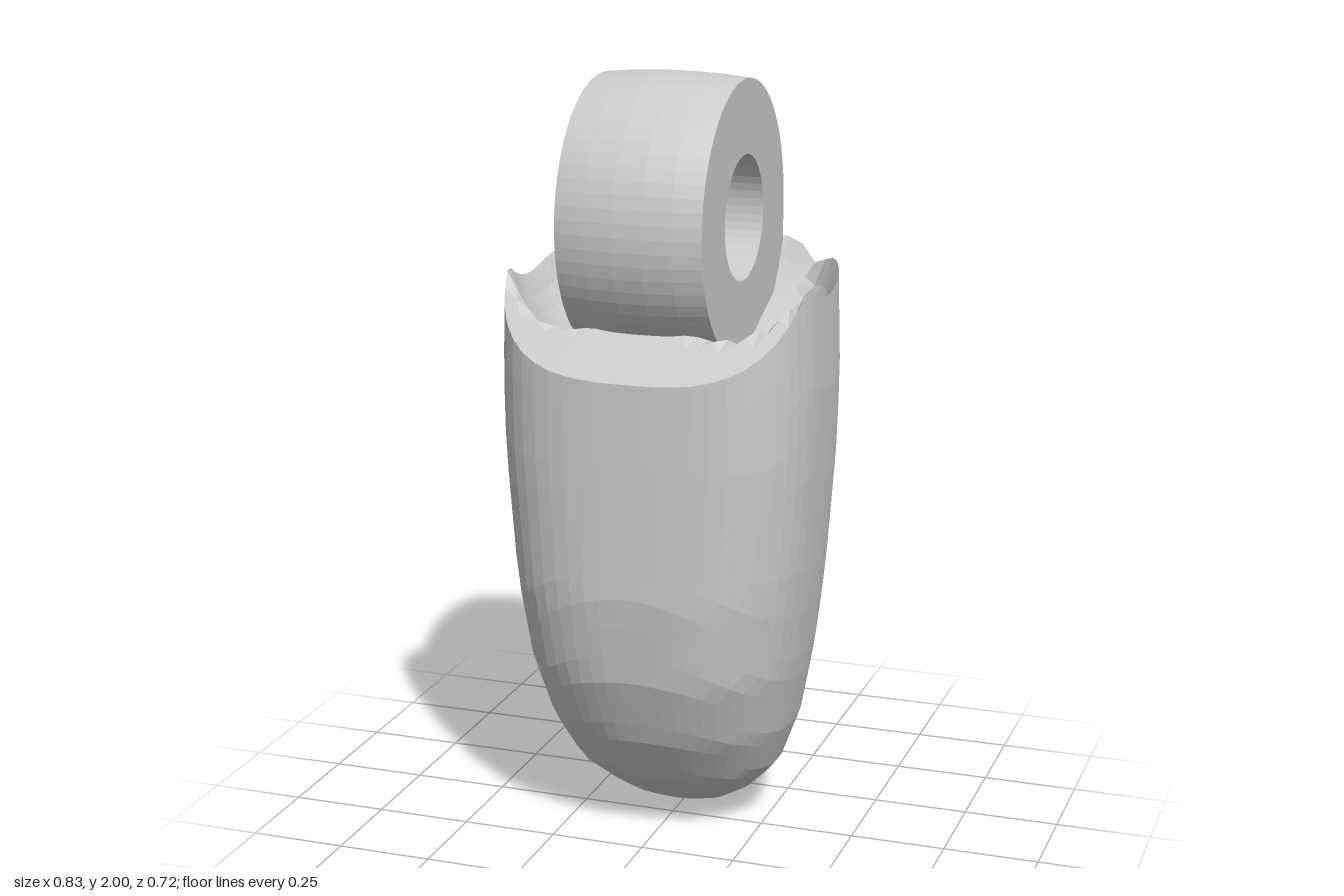
import * as THREE from 'three';
import { mergeVertices } from 'three/addons/utils/BufferGeometryUtils.js';

const AXIS_Y = 1.64; // height of the hinge axis
const RADIUS = 0.36; // hinge knuckle radius
const HALF = 0.19; // hinge knuckle half width

// Body sections: height, half width, front z, back z, roundness exponent
const SECTIONS = [
  [0, 0, -0.12, -0.12, 2.1],
  [0.015, 0.08, -0.06, -0.17, 2.1],
  [0.04, 0.14, 0.0, -0.205, 2.2],
  [0.08, 0.2, 0.06, -0.24, 2.2],
  [0.16, 0.275, 0.155, -0.285, 2.3],
  [0.3, 0.328, 0.255, -0.33, 2.4],
  [0.48, 0.362, 0.328, -0.35, 2.6],
  [0.7, 0.387, 0.36, -0.36, 2.8],
  [1.05, 0.41, 0.362, -0.362, 3],
  [1.25, 0.413, 0.362, -0.362, 3],
  [1.6, 0.402, 0.362, -0.362, 3],
];

function sectionAt(y) {
  let i = 0;
  while (i < SECTIONS.length - 2 && SECTIONS[i + 1][0] < y) i++;
  const a = SECTIONS[i], b = SECTIONS[i + 1];
  const t = THREE.MathUtils.clamp((y - a[0]) / (b[0] - a[0]), 0, 1);
  return a.map((v, k) => v + (b[k] - v) * t);
}

// Superellipse outline of the body at height y
function outline(y, angle) {
  const [, w, front, back, n] = sectionAt(y);
  const c = Math.cos(angle), s = Math.sin(angle);
  const r = Math.pow(Math.abs(c) ** n + Math.abs(s) ** n, -1 / n);
  return [w * c * r, (front + back) / 2 + ((front - back) / 2) * s * r];
}

// Top surface: slanted front cut and a rounded socket around the hinge
function topHeight(x, z) {
  const ball = 0.447 - 0.04 * z;
  const r = Math.min(0.355, Math.sqrt(Math.max(0, ball * ball - x * x)));
  const socket = AXIS_Y - Math.sqrt(Math.max(0, r * r - z * z));
  return Math.min(socket, 1.53, AXIS_Y - z);
}

function bodyGeometry() {
  const columns = 64, lower = 16, upper = 8, inner = 14;
  const rows = lower + upper + inner + 2;
  const pos = [], index = [];
  const columnPoints = (angle) => {
    const pts = [];
    // Lower part with the flat pad cut into the back, below an arched ledge
    const ledge = 0.72 - 1.5 * outline(0.6, angle)[0] ** 2;
    for (let i = 0; i <= lower; i++) {
      const y = ledge * Math.pow(i / lower, 1.9);
      const [x, z] = outline(y, angle);
      pts.push([x, y, Math.max(z, -0.25)]);
    }
    // Upper wall from the ledge to the rim
    const [rx, rz] = outline(1.45, angle);
    const rim = topHeight(rx, rz);
    for (let i = 0; i <= upper; i++) {
      const y = ledge + ((rim - ledge) * i) / upper;
      const [x, z] = outline(y, angle);
      pts.push([x, y, z]);
    }
    // Socket surface from the rim to the middle
    for (let i = 1; i <= inner; i++) {
      const k = 1 - i / inner;
      pts.push([rx * k, topHeight(rx * k, rz * k), rz * k]);
    }
    return pts;
  };
  for (let j = 0; j < columns; j++) {
    columnPoints((j / columns) * Math.PI * 2).forEach((p) => pos.push(...p));
  }
  for (let j = 0; j < columns; j++) {
    for (let i = 0; i < rows - 1; i++) {
      const a = j * rows + i, b = ((j + 1) % columns) * rows + i;
      index.push(a, a + 1, b, b, a + 1, b + 1);
    }
  }
  const geo = new THREE.BufferGeometry();
  geo.setAttribute('position', new THREE.Float32BufferAttribute(pos, 3));
  geo.setIndex(index);
  const merged = mergeVertices(geo, 1e-5);
  merged.computeVertexNormals();
  return merged;
}

// Slice of the hinge knuckle between two x positions, with a round bore
function knuckleGeometry(x0, x1, bore) {
  const shape = new THREE.Shape();
  shape.absarc(0, 0, RADIUS, 0, Math.PI * 1.5, false);
  shape.lineTo(RADIUS, -0.22); // straight back running down into the body
  const hole = new THREE.Path();
  hole.absarc(0, 0, bore, 0, Math.PI * 2, true);
  shape.holes.push(hole);
  const geo = new THREE.ExtrudeGeometry(shape, {
    depth: x1 - x0, steps: 4, curveSegments: 24, bevelEnabled: false,
  });
  geo.rotateY(Math.PI / 2).translate(x0, 0, 0);
  // Crown the outer face slightly
  const p = geo.attributes.position;
  for (let i = 0; i < p.count; i++) {
    const y = p.getY(i), z = p.getZ(i);
    if (Math.hypot(y, z) < 0.3) continue;
    const t = (p.getX(i) / HALF) ** 2;
    p.setY(i, y * (1 - 0.03 * t));
    p.setZ(i, z * (1 - 0.055 * t));
  }
  geo.translate(0, AXIS_Y, 0);
  geo.computeVertexNormals();
  return geo;
}

export function createModel() {
  const group = new THREE.Group();
  group.name = 'fingertip';
  const material = new THREE.MeshStandardMaterial({ color: 0xcccccc, flatShading: true });
  const add = (name, geo) => {
    const mesh = new THREE.Mesh(geo, material);
    mesh.name = name;
    group.add(mesh);
  };
  add('body', bodyGeometry());
  // Wide counterbore on the left, narrow pin hole on the right
  add('knuckleCounterbore', knuckleGeometry(-0.11, HALF, 0.16));
  add('knucklePinHole', knuckleGeometry(-HALF, -0.11, 0.055));
  return group;
}
